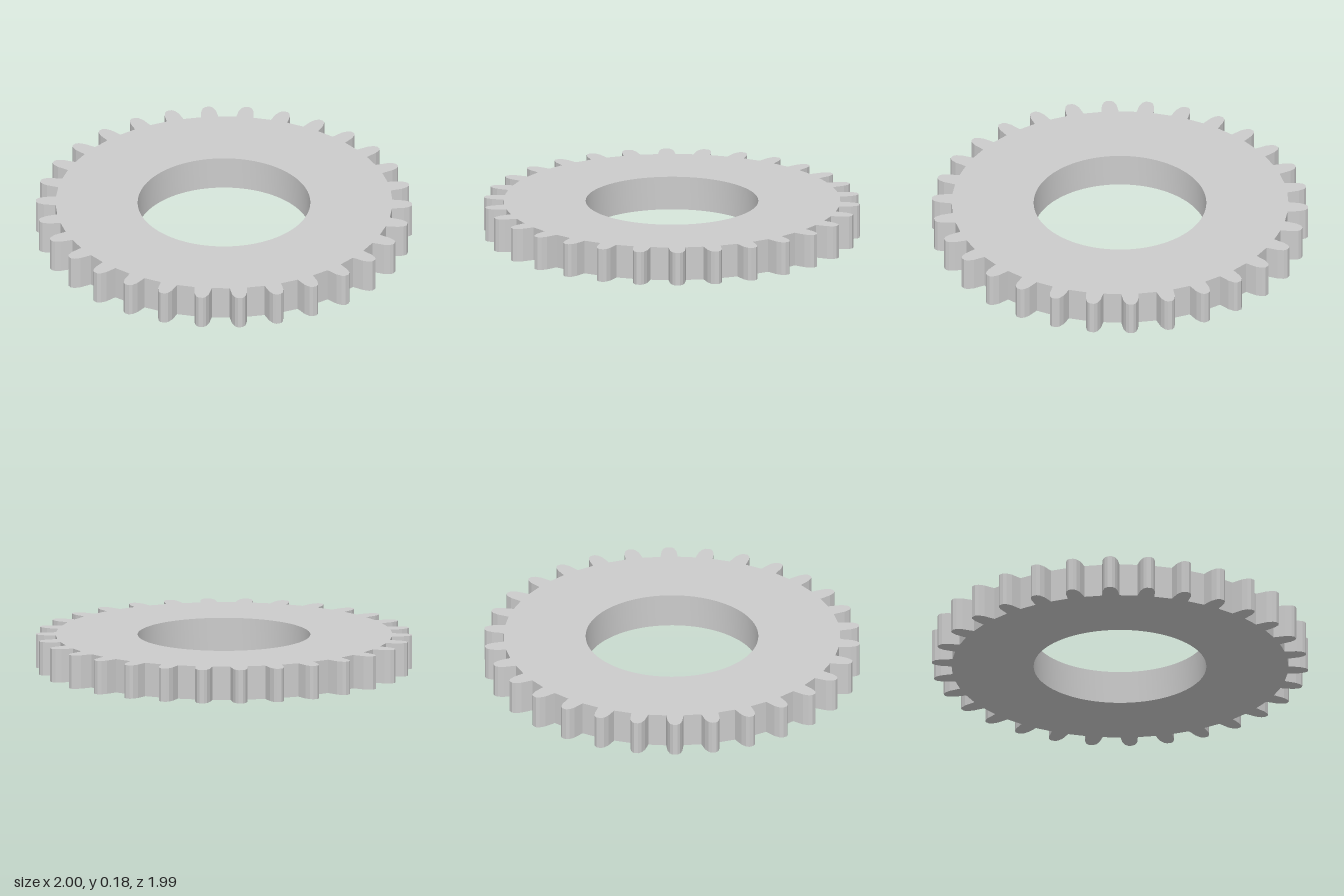
import * as THREE from 'three';
import { toCreasedNormals } from 'three/addons/utils/BufferGeometryUtils.js';

const TEETH = 30;
const THICKNESS = 0.18;
const BORE_RADIUS = 0.458;
const PHASE = THREE.MathUtils.degToRad(-3.6);

// One tooth, as [distance from the axis, sideways offset from the tooth's centre line]
const HALF_TOOTH = [[0.892, 0.046], [0.955, 0.039], [0.985, 0.027], [0.998, 0.012]];
const TOOTH = [
  ...HALF_TOOTH.map(([r, w]) => [r, -w]),
  ...[...HALF_TOOTH].reverse(),
];

// Toothed outline with a round bore
function gearShape() {
  const points = [];
  for (let i = 0; i < TEETH; i++) {
    const angle = PHASE + (i / TEETH) * Math.PI * 2;
    const s = Math.sin(angle);
    const c = Math.cos(angle);
    for (const [r, w] of TOOTH) {
      points.push(new THREE.Vector2(r * s + w * c, r * c - w * s));
    }
  }
  const shape = new THREE.Shape(points);
  shape.holes.push(new THREE.Path().absarc(0, 0, BORE_RADIUS, 0, Math.PI * 2, false));
  return shape;
}

export function createModel() {
  const group = new THREE.Group();
  group.name = 'gear';

  // Flat ring gear lying on the ground
  const extruded = new THREE.ExtrudeGeometry(gearShape(), {
    depth: THICKNESS,
    bevelEnabled: false,
    curveSegments: 48,
  });
  extruded.rotateX(-Math.PI / 2);

  // Smooth bore wall, crisp tooth edges
  const geometry = toCreasedNormals(extruded, 0.25);
  const material = new THREE.MeshStandardMaterial({ color: 0xcccccc });
  const ring = new THREE.Mesh(geometry, material);
  ring.name = 'toothedRing';
  ring.position.set(-0.002, 0, -0.002);
  group.add(ring);

  return group;
}
